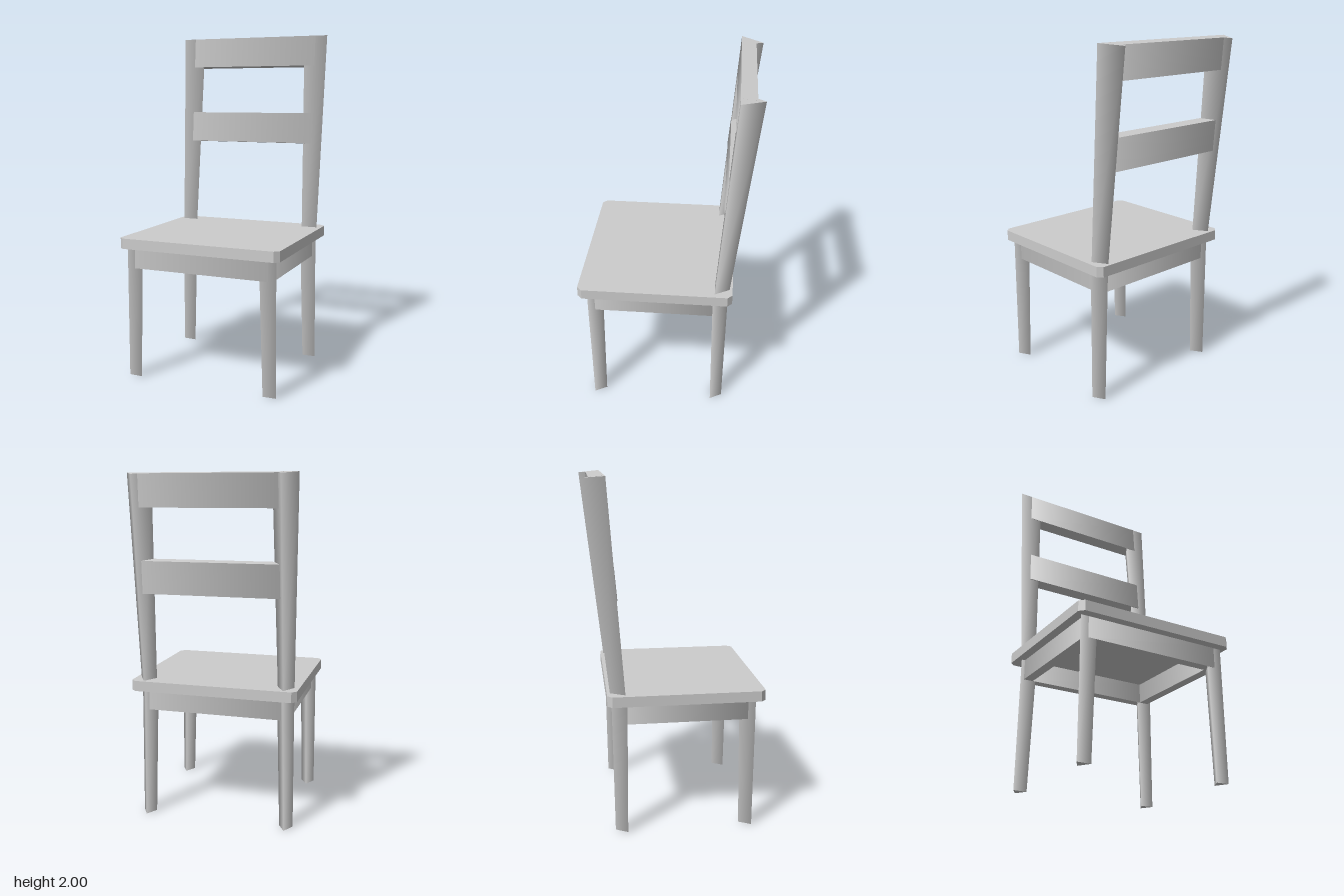
import * as THREE from 'three';

const material = new THREE.MeshStandardMaterial({ color: 0xcccccc });

function add(group, name, geometry) {
  const mesh = new THREE.Mesh(geometry, material);
  mesh.name = name;
  group.add(mesh);
  return mesh;
}

// Three-sided tapered bar with its flat side to the front
function taperedBar(group, name, from, to, r0, r1) {
  const a = new THREE.Vector3(...from);
  const b = new THREE.Vector3(...to);
  const geometry = new THREE.CylinderGeometry(r1, r0, a.distanceTo(b), 3, 1, false, Math.PI);
  const mesh = add(group, name, geometry);
  mesh.position.copy(a).add(b).multiplyScalar(0.5);
  mesh.quaternion.setFromUnitVectors(new THREE.Vector3(0, 1, 0), b.sub(a).normalize());
}

// Four-sided board whose upright corners are shaded smoothly
function board(group, name, size, position, lean = 0) {
  const geometry = new THREE.CylinderGeometry(Math.SQRT1_2, Math.SQRT1_2, 1, 4, 1, false, Math.PI / 4);
  const normals = geometry.attributes.normal.clone();
  geometry.scale(...size);
  geometry.setAttribute('normal', normals);
  const mesh = add(group, name, geometry);
  mesh.position.set(...position);
  mesh.rotation.x = lean;
}

export function createModel() {
  const chair = new THREE.Group();
  chair.name = 'chair';

  // Seat panel with clipped corners
  const hx = 0.485, hz = 0.4425, c = 0.027;
  const outline = new THREE.Shape([
    [-hx + c, -hz], [hx - c, -hz], [hx, -hz + c], [hx, hz - c],
    [hx - c, hz], [-hx + c, hz], [-hx, hz - c], [-hx, -hz + c],
  ].map(([x, y]) => new THREE.Vector2(x, y)));
  const seat = new THREE.ExtrudeGeometry(outline, { depth: 0.06, bevelEnabled: false });
  seat.rotateX(-Math.PI / 2);
  add(chair, 'seat', seat).position.set(0, 0.77, 0.0525);

  // Legs and back posts
  const frontZ = 0.414, backZ = -0.308, slope = 0.0853;
  for (const [side, s] of [['left', 1], ['right', -1]]) {
    for (const [end, z] of [['Front', frontZ], ['Back', backZ]]) {
      taperedBar(chair, `${side}${end}Leg`, [s * 0.419, 0, z - 0.001], [s * 0.405, 0.79, z], 0.046, 0.057);
    }
    taperedBar(chair, `${side}BackPost`, [s * 0.409, 0.78, -0.313], [s * 0.407, 1.9965, -0.417], 0.054, 0.083);

    // Side apron
    board(chair, `${side}Apron`, [0.057, 0.13, frontZ - backZ], [s * 0.405, 0.715, (frontZ + backZ) / 2]);
  }

  // Front and back aprons
  board(chair, 'frontApron', [0.815, 0.13, 0.058], [0, 0.715, frontZ]);
  board(chair, 'backApron', [0.815, 0.13, 0.058], [0, 0.715, backZ]);

  // Back slats, leaning with the posts
  for (const [name, y, h, t] of [['topSlat', 1.907, 0.18, 0.084], ['middleSlat', 1.435, 0.185, 0.08]]) {
    board(chair, name, [0.81, h, t], [0, y, -0.417 + (1.9965 - y) * slope], -Math.atan(slope));
  }

  return chair;
}
